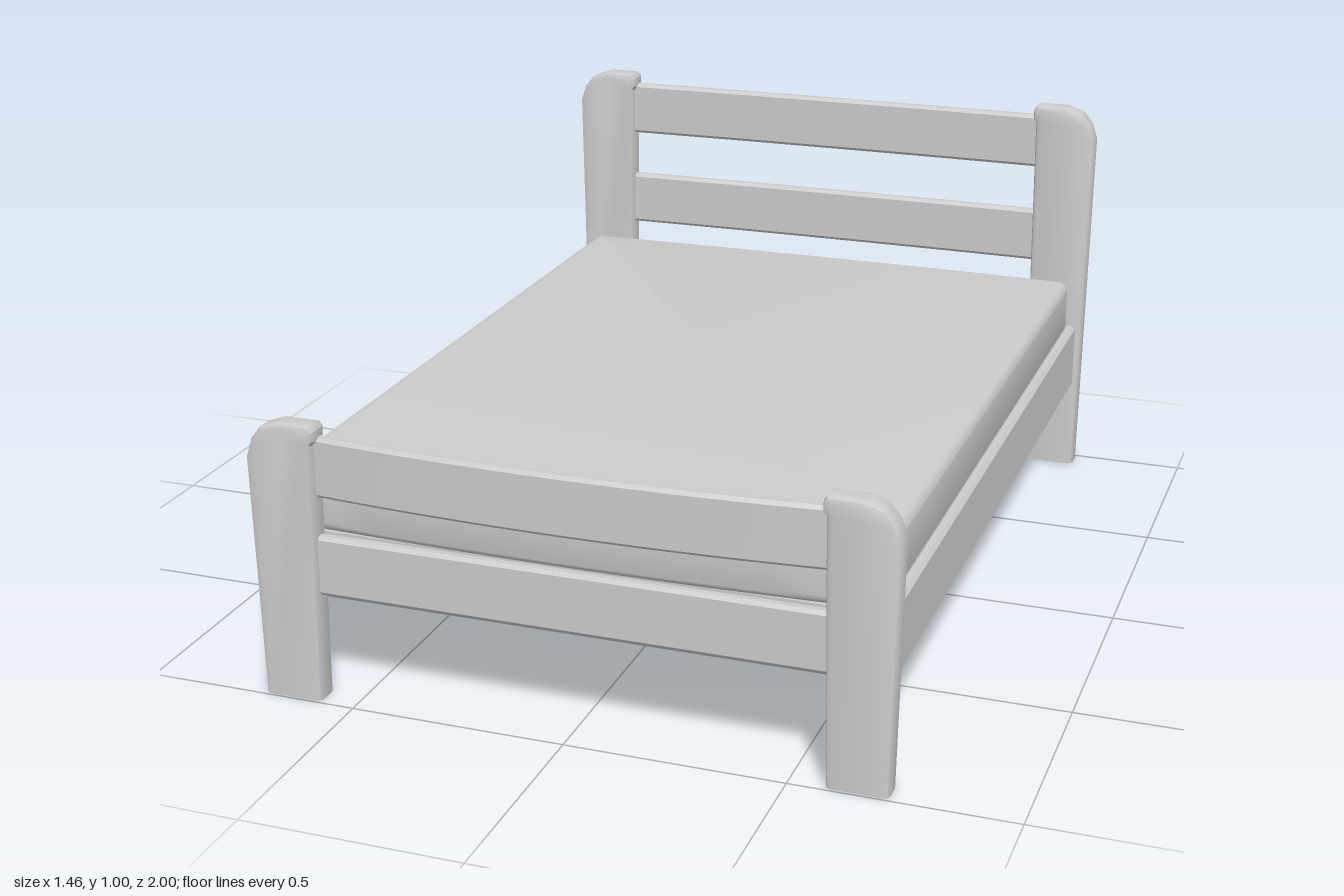
import * as THREE from 'three';
import { toCreasedNormals } from 'three/addons/utils/BufferGeometryUtils.js';

const material = new THREE.MeshStandardMaterial({ color: 0xcccccc });

function addMesh(parent, name, geometry) {
  const mesh = new THREE.Mesh(toCreasedNormals(geometry, 0.5), material);
  mesh.name = name;
  parent.add(mesh);
  return mesh;
}

// Bevelled upright with a rounded outer shoulder; side is +1 or -1
function postGeometry(height, side) {
  const bevel = 0.013, depth = 0.062;
  const outline = [
    [0.58, -bevel], [0.718, -bevel], [0.73, height - 0.085], [0.717, height - 0.045],
    [0.693, height - 0.015], [0.65, height], [0.573, height],
    [0.565, height - 0.012], [0.565, height - 0.035], [0.572, height - 0.045],
  ].map(([x, y]) => new THREE.Vector2(x * side, y));
  const g = new THREE.ExtrudeGeometry(new THREE.Shape(outline), {
    depth: depth - 2 * bevel, bevelEnabled: true, bevelThickness: bevel,
    bevelSize: bevel, bevelOffset: -bevel, bevelSegments: 2,
  });
  g.translate(0, 0, bevel - depth / 2);
  // Keep the foot flat on the ground
  const p = g.attributes.position;
  for (let i = 0; i < p.count; i++) if (p.getY(i) < 0) p.setY(i, 0);
  return g;
}

// Board along x with chamfered edges, bowed along z by "bow" at its middle
function boardGeometry(length, bottom, top, thickness, bow = 0) {
  const c = 0.008, t = thickness / 2;
  const section = new THREE.Shape([
    [-t + c, bottom], [t - c, bottom], [t, bottom + c], [t, top - c],
    [t - c, top], [-t + c, top], [-t, top - c], [-t, bottom + c],
  ].map(([x, y]) => new THREE.Vector2(x, y)));
  const g = new THREE.ExtrudeGeometry(section, { depth: length, steps: 16, bevelEnabled: false });
  g.translate(0, 0, -length / 2);
  g.rotateY(Math.PI / 2);
  const p = g.attributes.position;
  for (let i = 0; i < p.count; i++) {
    const u = p.getX(i) / (length / 2);
    p.setZ(i, p.getZ(i) + bow * (1 - u * u));
  }
  return g;
}

// Soft slab with gently bowed ends
function mattressGeometry(bottom, top) {
  const w = 0.685, zBack = -0.932, zFront = 0.935, r = 0.03, bevel = 0.025;
  const s = new THREE.Shape();
  s.moveTo(-w + r, -zFront);
  s.quadraticCurveTo(0, -zFront - 0.04, w - r, -zFront);
  s.quadraticCurveTo(w, -zFront, w, -zFront + r);
  s.lineTo(w, -zBack - r);
  s.quadraticCurveTo(w, -zBack, w - r, -zBack);
  s.quadraticCurveTo(0, -zBack + 0.02, -w + r, -zBack);
  s.quadraticCurveTo(-w, -zBack, -w, -zBack - r);
  s.lineTo(-w, -zFront + r);
  s.quadraticCurveTo(-w, -zFront, -w + r, -zFront);
  const g = new THREE.ExtrudeGeometry(s, {
    depth: top - bottom - 2 * bevel, bevelEnabled: true, bevelThickness: bevel,
    bevelSize: bevel, bevelOffset: -bevel, bevelSegments: 5, curveSegments: 12,
  });
  g.rotateX(-Math.PI / 2);
  g.translate(0, bottom + bevel, 0);
  return g;
}

export function createModel() {
  const model = new THREE.Group();
  model.name = 'bed';

  const headboard = new THREE.Group();
  headboard.name = 'headboard';
  const footboard = new THREE.Group();
  footboard.name = 'footboard';
  model.add(headboard, footboard);

  // Corner posts
  for (const side of [1, -1]) {
    const label = side > 0 ? 'left' : 'right';
    addMesh(headboard, label + 'HeadPost', postGeometry(1.0, side)).position.z = -0.965;
    addMesh(footboard, label + 'FootPost', postGeometry(0.65, side)).position.z = 0.963;
  }

  // Cross rails: [group, name, bottom, top, z, bow]
  const rails = [
    [headboard, 'upperHeadRail', 0.83, 0.97, -0.969, -0.006],
    [headboard, 'middleHeadRail', 0.57, 0.71, -0.969, -0.006],
    [headboard, 'lowerHeadRail', 0.295, 0.43, -0.969, -0.016],
    [footboard, 'upperFootRail', 0.48, 0.62, 0.955, 0.03],
    [footboard, 'lowerFootRail', 0.25, 0.39, 0.96, 0],
  ];
  for (const [group, name, bottom, top, z, bow] of rails) {
    addMesh(group, name, boardGeometry(1.2, bottom, top, 0.03, bow)).position.z = z;
  }

  // Side rails
  for (const side of [1, -1]) {
    const rail = addMesh(model, side > 0 ? 'leftSideRail' : 'rightSideRail',
      boardGeometry(1.9, 0.23, 0.4, 0.03));
    rail.rotation.y = Math.PI / 2;
    rail.position.x = side * 0.692;
  }

  // Mattress and the panel carrying it
  addMesh(model, 'mattress', mattressGeometry(0.385, 0.53));
  const base = addMesh(model, 'basePanel', new THREE.BoxGeometry(1.36, 0.02, 1.88));
  base.position.y = 0.38;

  return model;
}
